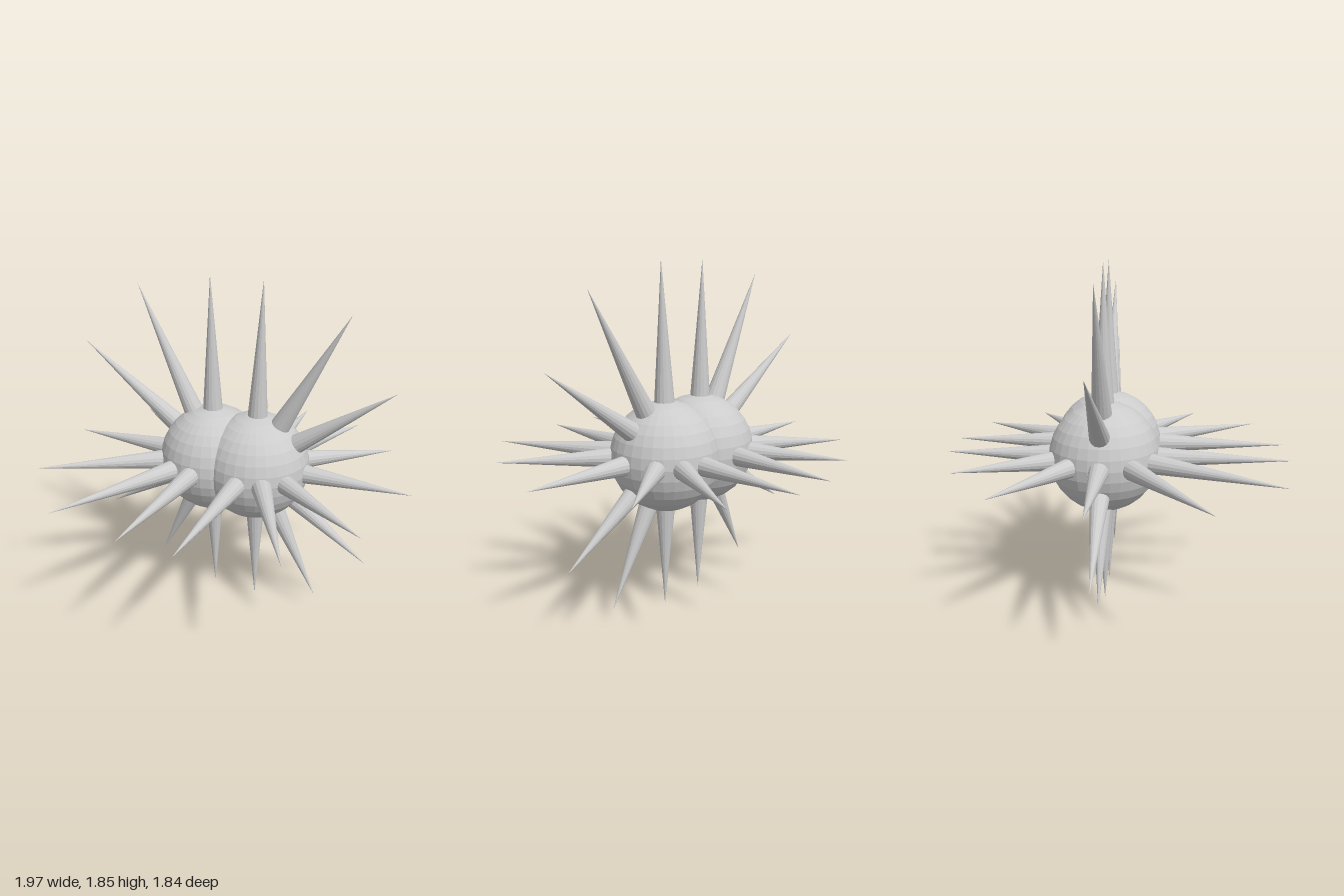
import * as THREE from 'three';

const RADIUS = 0.292;
const CENTER_Y = 0.864;
const CENTER_Z = -0.062;

export function createModel() {
  const model = new THREE.Group();
  model.name = 'spikyTwinBall';
  const material = new THREE.MeshStandardMaterial({ color: 0xcccccc, flatShading: true });

  // A spike runs from just inside its ball, straight out to the tip
  function addSpike(parent, center, tip) {
    const dir = tip.clone().sub(center);
    const reach = dir.length();
    dir.normalize();
    const inset = 0.24;
    const length = reach - inset;
    const geometry = new THREE.ConeGeometry(0.046 + 0.01 * reach, length, 16);
    geometry.translate(0, inset + length / 2, 0);
    const spike = new THREE.Mesh(geometry, material);
    spike.name = 'spike';
    spike.position.copy(center);
    spike.quaternion.setFromUnitVectors(new THREE.Vector3(0, 1, 0), dir);
    parent.add(spike);
  }

  // Tips in the upright ring as [x, y], and in the level ring as [x, z]
  const sides = [
    {
      name: 'right', x: -0.11,
      upright: [[-0.123, 1.861], [-0.547, 1.781], [-0.904, 1.426], [-0.988, 0.862],
        [-0.802, 0.417], [-0.46, 0.155], [-0.107, 0.025]],
      level: [[-0.112, -0.914], [-0.465, -0.786], [-0.802, -0.524],
        [-0.907, 0.484], [-0.548, 0.84], [-0.126, 0.916]],
    },
    {
      name: 'left', x: 0.14,
      upright: [[0.166, 1.861], [0.615, 1.733], [0.861, 1.38], [0.984, 0.862],
        [0.786, 0.396], [0.513, 0.112], [0.15, 0.012]],
      level: [[0.147, -0.928], [0.511, -0.832], [0.783, -0.549],
        [0.858, 0.433], [0.612, 0.786], [0.163, 0.916]],
    },
  ];

  for (const side of sides) {
    const half = new THREE.Group();
    half.name = side.name + 'Half';
    const center = new THREE.Vector3(side.x, CENTER_Y, CENTER_Z);

    // Ball body
    const ball = new THREE.Mesh(new THREE.SphereGeometry(RADIUS, 32, 16), material);
    ball.name = side.name + 'Ball';
    ball.position.copy(center);
    half.add(ball);

    // Two crossing rings of spikes
    for (const [x, y] of side.upright) addSpike(half, center, new THREE.Vector3(x, y, CENTER_Z));
    for (const [x, z] of side.level) addSpike(half, center, new THREE.Vector3(x, CENTER_Y, z));
    model.add(half);
  }
  return model;
}
